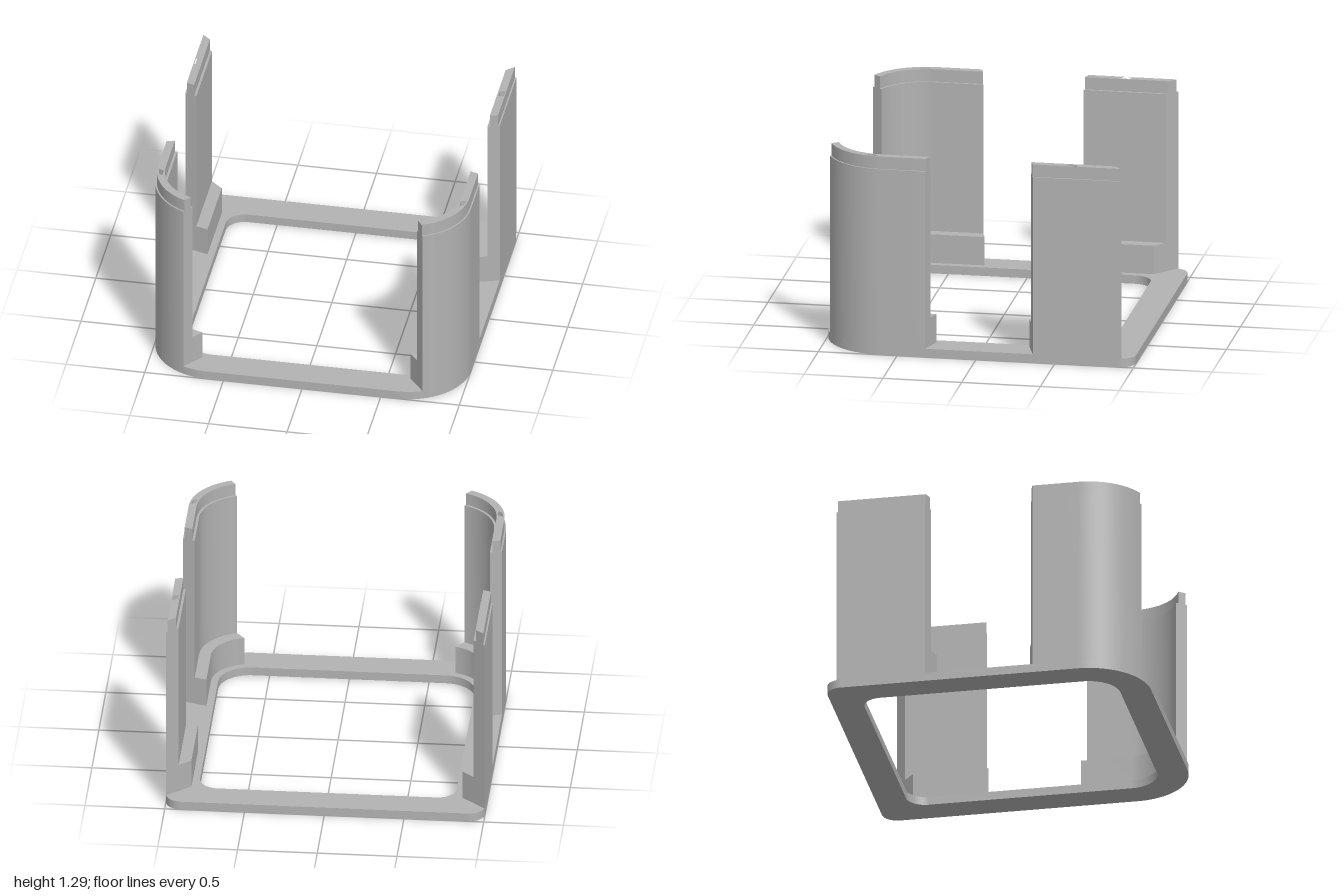
import * as THREE from 'three';
import { toCreasedNormals } from 'three/addons/utils/BufferGeometryUtils.js';

const CORNER = 0.605; // centre of the front corner arcs, in x and z
const BASE_H = 0.055;

// Rounded square in plan; shape y is -z, so the back is at +y
function frameOutline(target, h, rFront, rBack) {
  target.moveTo(-h + rFront, -h);
  target.lineTo(h - rFront, -h);
  target.absarc(h - rFront, -h + rFront, rFront, -Math.PI / 2, 0, false);
  target.lineTo(h, h - rBack);
  target.absarc(h - rBack, h - rBack, rBack, 0, Math.PI / 2, false);
  target.lineTo(-h + rBack, h);
  target.absarc(-h + rBack, h - rBack, rBack, Math.PI / 2, Math.PI, false);
  target.lineTo(-h, -h + rFront);
  target.absarc(-h + rFront, -h + rFront, rFront, Math.PI, Math.PI * 1.5, false);
  return target;
}

// Upright extrusion of a plan shape between two heights
function upright(shape, y0, y1) {
  const g = new THREE.ExtrudeGeometry(shape, { depth: y1 - y0, bevelEnabled: false, curveSegments: 20 });
  g.rotateX(-Math.PI / 2);
  g.translate(0, y0, 0);
  return toCreasedNormals(g, 0.5);
}

// Plan line of a front post, d inward from the outer face: straight run, then corner arc
function frontLine(d) {
  const r = 1 - CORNER - d;
  const end = THREE.MathUtils.degToRad(66.9 + 27.3 * d + 257 * d * d);
  const pts = [[1 - d, 0.322 - 0.3 * d]];
  for (let i = 0; i <= 20; i++) {
    const a = (end * i) / 20;
    pts.push([CORNER + r * Math.cos(a), CORNER + r * Math.sin(a)]);
  }
  return pts;
}

// Plan line of a rear post: straight with slanted ends
const rearLine = (d) => [[1 - d, -0.362 + 0.32 * d], [1 - d, -0.925 + 0.87 * d]];

export function createModel() {
  const model = new THREE.Group();
  model.name = 'cornerPostFrame';
  const grey = new THREE.MeshStandardMaterial({ color: 0xb2b2b2 });
  grey.name = 'plainGrey';

  const add = (parent, name, shape, y0, y1) => {
    const mesh = new THREE.Mesh(upright(shape, y0, y1), grey);
    mesh.name = name;
    parent.add(mesh);
  };

  // Flat base ring
  const ring = frameOutline(new THREE.Shape(), 1, 0.395, 0.1);
  ring.holes.push(frameOutline(new THREE.Path(), 0.805, 0.2, 0.12));
  add(model, 'baseRing', ring, 0, BASE_H);

  const posts = [
    { name: 'front', line: frontLine, slot: [[0.978, 0.635], [0.945, 0.652], [0.945, 0.703], [0.967, 0.69]] },
    { name: 'rear', line: rearLine, slot: [[0.984, -0.64], [0.95, -0.625], [0.95, -0.57], [0.984, -0.582]] },
  ];

  for (const side of [1, -1]) {
    const plan = (pts) => pts.map(([x, z]) => new THREE.Vector2(side * x, -z));
    for (const { name, line, slot } of posts) {
      const post = new THREE.Group();
      post.name = name + (side > 0 ? 'Left' : 'Right') + 'Post';
      const band = (d0, d1) => new THREE.Shape(plan([...line(d0), ...line(d1).reverse()]));

      // Tall wall, inner foot ledge and thinner top lip with its slot
      add(post, 'wall', band(0, 0.075), BASE_H, 1.21);
      add(post, 'footLedge', band(0.075, 0.15), BASE_H, 0.24);
      const lip = band(0.01, 0.06);
      lip.holes.push(new THREE.Path(plan(slot)));
      add(post, 'topLip', lip, 1.21, 1.29);
      model.add(post);
    }
  }
  return model;
}
